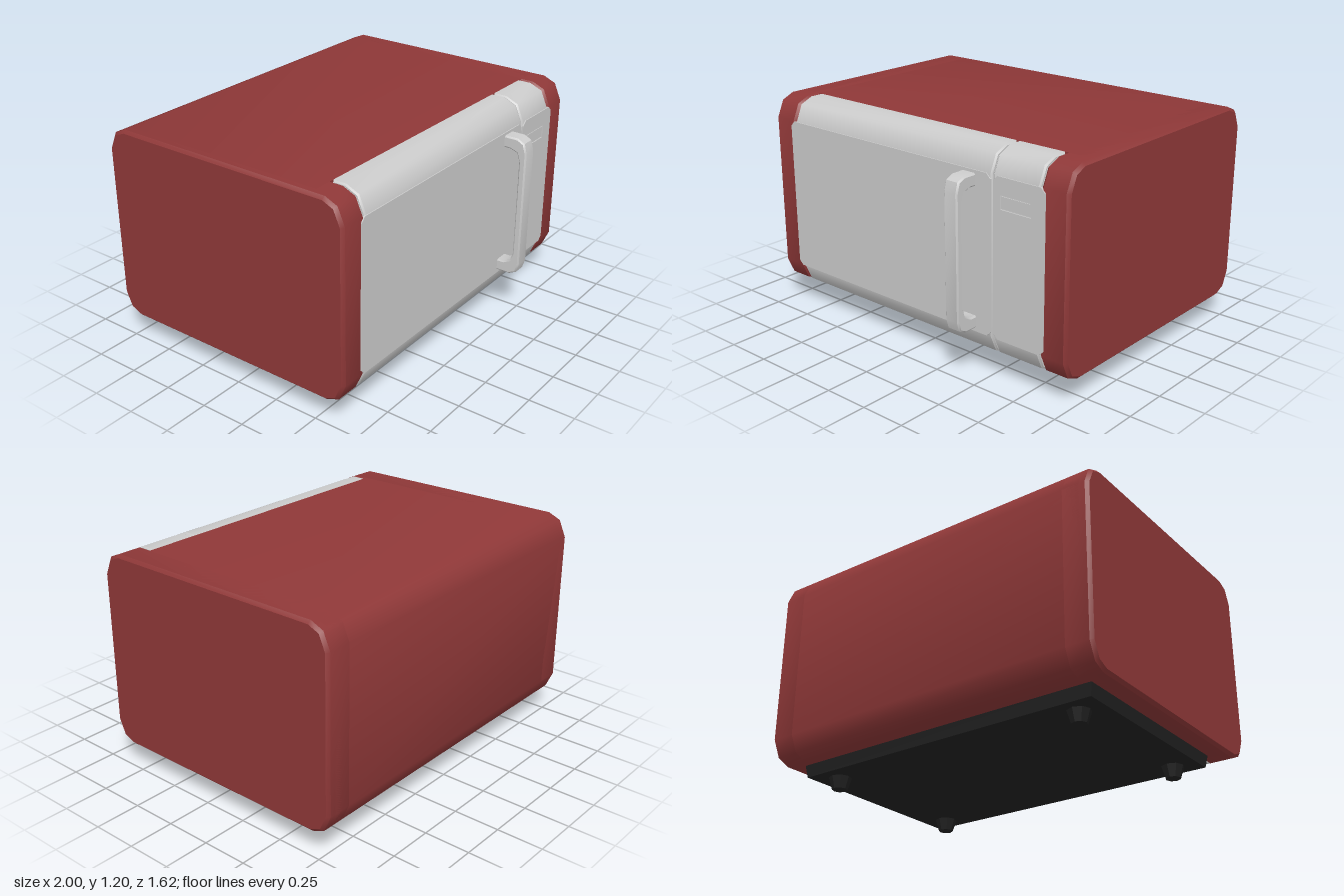
import * as THREE from 'three';
import { toCreasedNormals } from 'three/addons/utils/BufferGeometryUtils.js';

const red = new THREE.MeshStandardMaterial({ color: 0x8f3838 });
const grey = new THREE.MeshStandardMaterial({ color: 0xcccccc });
const dark = new THREE.MeshStandardMaterial({ color: 0x222222 });

const FRONT = 0.675, BACK = -0.81, BOTTOM = 0.13, TOP = 1.2;

const polygon = (points) => new THREE.Shape(points.map(([a, b]) => new THREE.Vector2(a, b)));

// Extrudes a [z, y] outline across x0..x1, with bevelled ends
function extrudeAcross(points, x0, x1, bevel) {
  const geometry = new THREE.ExtrudeGeometry(polygon(points), {
    depth: x1 - x0 - 2 * bevel, bevelEnabled: bevel > 0, bevelSize: bevel,
    bevelThickness: bevel, bevelOffset: -bevel, bevelSegments: 1,
  });
  geometry.rotateY(-Math.PI / 2).translate(x1 - bevel, 0, 0);
  return toCreasedNormals(geometry, 0.77);
}

// Side outline from z0 to z1, with softened corners at the chosen ends
function outline(z0, z1, y0, y1, roundBack, roundFront) {
  const points = [];
  if (roundFront) {
    points.push([z1 - 0.11, y0], [z1 - 0.04, y0 + 0.03], [z1, y0 + 0.12],
      [z1, y1 - 0.12], [z1 - 0.04, y1 - 0.03], [z1 - 0.11, y1]);
  } else points.push([z1, y0], [z1, y1]);
  if (roundBack) {
    points.push([z0 + 0.11, y1], [z0 + 0.04, y1 - 0.03], [z0, y1 - 0.12],
      [z0, y0 + 0.12], [z0 + 0.04, y0 + 0.03], [z0 + 0.11, y0]);
  } else points.push([z0, y1], [z0, y0]);
  return points;
}

// Thin flat facing on the front, with clipped corners and an optional window
function facing(x0, x1, window) {
  const y0 = 0.25, y1 = 1.08, c = 0.025;
  const shape = polygon([[x0 + c, y0], [x1 - c, y0], [x1, y0 + c], [x1, y1 - c],
    [x1 - c, y1], [x0 + c, y1], [x0, y1 - c], [x0, y0 + c]]);
  if (window) {
    const [a, b, d, e] = window;
    shape.holes.push(new THREE.Path([[a, d], [a, e], [b, e], [b, d]].map((p) => new THREE.Vector2(...p))));
  }
  return new THREE.ExtrudeGeometry(shape, { depth: 0.01, bevelEnabled: false })
    .translate(0, 0, FRONT - 0.005);
}

// Box whose lower face is drawn in by a fixed amount
function taperedSlab(width, height, depth, inset) {
  const geometry = new THREE.BoxGeometry(width, height, depth);
  const p = geometry.attributes.position;
  for (let i = 0; i < p.count; i++) {
    if (p.getY(i) < 0) {
      p.setX(i, p.getX(i) - Math.sign(p.getX(i)) * inset);
      p.setZ(i, p.getZ(i) - Math.sign(p.getZ(i)) * inset);
    }
  }
  geometry.computeVertexNormals();
  return geometry;
}

export function createModel() {
  const model = new THREE.Group();
  const add = (name, geometry, material, x = 0, y = 0, z = 0) => {
    const mesh = new THREE.Mesh(geometry, material);
    mesh.name = name;
    mesh.position.set(x, y, z);
    model.add(mesh);
  };

  // Housing: full-depth cheeks either side of a core that stops behind the door
  const cheek = outline(BACK, FRONT, BOTTOM, TOP, true, true);
  add('rightCheek', extrudeAcross(cheek, -1, -0.84, 0.016), red);
  add('leftCheek', extrudeAcross(cheek, 0.84, 1, 0.016), red);
  add('housing', extrudeAcross(outline(BACK, 0.49, BOTTOM, TOP, true, false), -0.95, 0.95, 0), red);

  // Front: recessed backing, door and control panel
  const front = outline(0.49, FRONT, BOTTOM, TOP, false, true);
  add('frontBacking', extrudeAcross(
    outline(0.48, FRONT - 0.012, BOTTOM + 0.012, TOP - 0.012, false, true), -0.85, 0.85, 0), grey);
  add('door', extrudeAcross(front, -0.837, 0.552, 0.008), grey);
  add('controlPanel', extrudeAcross(front, 0.56, 0.837, 0.008), grey);
  add('doorFacing', facing(-0.87, 0.547), grey);
  add('controlFacing', facing(0.565, 0.87, [0.605, 0.79, 0.92, 0.99]), grey);

  // Display sunk in the control facing
  add('display', new THREE.BoxGeometry(0.175, 0.06, 0.006), grey, 0.6975, 0.955, FRONT);

  // Door handle
  const outer = [[0.66, 0.27], [0.755, 0.27], [0.795, 0.29], [0.81, 0.34],
    [0.81, 0.99], [0.795, 1.045], [0.755, 1.065], [0.66, 1.065]];
  const inner = [[0.66, 1.0], [0.715, 1.0], [0.755, 0.985], [0.77, 0.94],
    [0.77, 0.4], [0.755, 0.355], [0.715, 0.335], [0.66, 0.335]];
  add('handle', extrudeAcross([...outer, ...inner], 0.37, 0.455, 0.008), grey);

  // Base plinth and four tapered feet
  add('base', taperedSlab(1.79, 0.07, 1.12, 0.012), dark, 0, 0.1, -0.1);
  const foot = new THREE.CylinderGeometry(0.062, 0.04, 0.07, 8).toNonIndexed();
  foot.computeVertexNormals();
  for (const x of [-0.75, 0.75]) {
    for (const z of [0.34, -0.54]) add('foot', foot, dark, x, 0.035, z);
  }
  return model;
}
